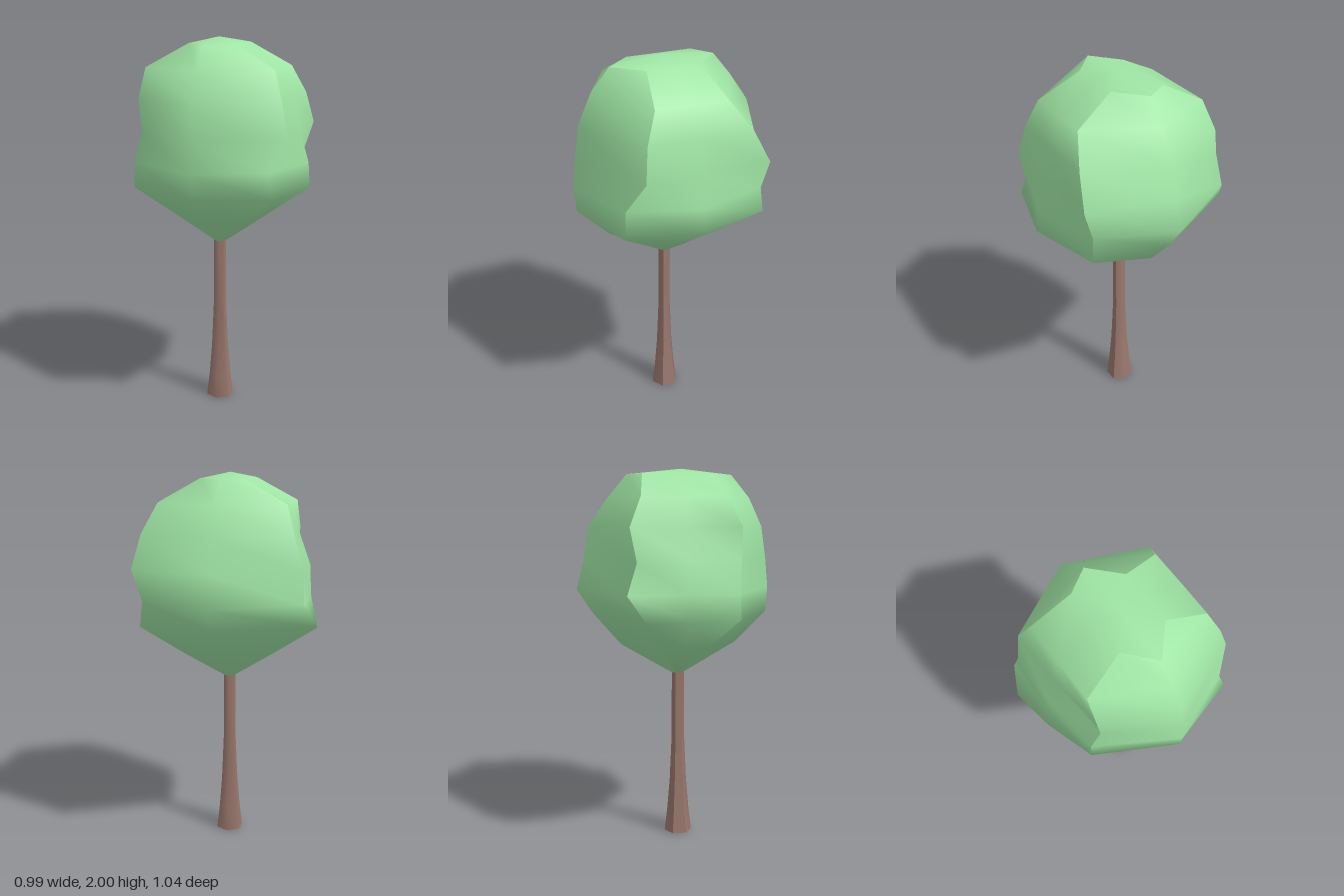
import * as THREE from 'three';
import { mergeVertices } from 'three/addons/utils/BufferGeometryUtils.js';

// Heights of the crown's rings, top to bottom
const HEIGHTS = [1.97, 1.85, 1.7, 1.53, 1.37, 1.24];
const TIP = [0, 0.89, 0.02];
const TOP = [0, 2, 0.04];

// One vertical rib of the crown: x, z at each height, then the taper to the tip
function rib(xz, taper) {
  const points = HEIGHTS.map((y, i) => [xz[i][0], y, xz[i][1]]);
  const [x, , z] = points[5];
  points.push([x * taper, 1.07, z * taper], TIP);
  return points;
}

const ribs = {
  front: rib([[0, 0.31], [0, 0.41], [0, 0.48], [0, 0.505], [0, 0.52], [0, 0.51]], 0.66),
  frontLeft: rib([[0.13, 0.17], [0.34, 0.22], [0.39, 0.28], [0.43, 0.305], [0.35, 0.38], [0.385, 0.4]], 0.52),
  left: rib([[0.13, 0.03], [0.34, 0.03], [0.4, 0.01], [0.43, 0.02], [0.48, 0.03], [0.49, 0.03]], 0.52),
  backLeft: rib([[0.13, -0.11], [0.34, -0.16], [0.4, -0.27], [0.43, -0.355], [0.38, -0.34], [0.39, -0.355]], 0.52),
  back: rib([[0, -0.25], [0, -0.35], [0, -0.455], [0, -0.48], [0, -0.52], [0, -0.435]], 0.66),
  backRight: rib([[-0.12, -0.18], [-0.335, -0.21], [-0.38, -0.27], [-0.425, -0.24], [-0.435, -0.29], [-0.495, -0.2]], 0.52),
  right: rib([[-0.12, 0], [-0.335, 0], [-0.37, 0.02], [-0.43, 0.03], [-0.44, 0.01], [-0.465, 0.03]], 0.52),
  frontRight: rib([[-0.12, 0.17], [-0.335, 0.22], [-0.345, 0.3], [-0.33, 0.3], [-0.38, 0.285], [-0.385, 0.29]], 0.52),
};

// Triangles between neighbouring ribs, all meeting at the tip
function panel(...names) {
  const tris = [];
  for (let k = 0; k + 1 < names.length; k++) {
    const a = ribs[names[k]], b = ribs[names[k + 1]];
    for (let i = 0; i + 1 < a.length; i++) {
      tris.push(a[i], b[i + 1], b[i]);
      if (i + 2 < a.length) tris.push(a[i], a[i + 1], b[i + 1]);
    }
  }
  return tris;
}

// Fan closing the top ring
function cap() {
  const ring = Object.values(ribs).map((r) => r[0]);
  return ring.flatMap((p, i) => [TOP, p, ring[(i + 1) % ring.length]]);
}

// Surface that is smooth within itself and sharp against its neighbours
function smoothSurface(name, tris, material) {
  const raw = new THREE.BufferGeometry();
  raw.setAttribute('position', new THREE.Float32BufferAttribute(tris.flat(), 3));
  const geometry = mergeVertices(raw);
  geometry.computeVertexNormals();
  const mesh = new THREE.Mesh(geometry, material);
  mesh.name = name;
  return mesh;
}

export function createModel() {
  const tree = new THREE.Group();
  tree.name = 'tree';
  const leaf = new THREE.MeshStandardMaterial({ color: 0x9fe5a4 });
  const bark = new THREE.MeshStandardMaterial({ color: 0x9a786d });

  // Crown: front and back panels, plus the two sides flowing over the top
  const crown = new THREE.Group();
  crown.name = 'crown';
  crown.add(
    smoothSurface('crownFront', panel('frontRight', 'front', 'frontLeft'), leaf),
    smoothSurface('crownBack', panel('backLeft', 'back', 'backRight'), leaf),
    smoothSurface('crownSidesAndTop', [
      ...panel('frontLeft', 'left', 'backLeft'),
      ...panel('backRight', 'right', 'frontRight'),
      ...cap(),
    ], leaf),
  );

  // Six-sided trunk flaring towards the ground: rounded front and back, flat sides
  const trunk = new THREE.Group();
  trunk.name = 'trunk';
  trunk.position.z = 0.024;
  const profile = [[0.075, 0], [0.06, 0.13], [0.046, 0.3], [0.035, 0.55], [0.034, 0.92]]
    .map(([r, y]) => new THREE.Vector2(r, y));
  const sixth = Math.PI / 3;
  for (const [name, start, sides] of [
    ['trunkFront', -1, 2], ['trunkLeft', 1, 1], ['trunkBack', 2, 2], ['trunkRight', 4, 1],
  ]) {
    const geometry = new THREE.LatheGeometry(profile, sides, start * sixth, sides * sixth);
    geometry.computeVertexNormals();
    const mesh = new THREE.Mesh(geometry, bark);
    mesh.name = name;
    trunk.add(mesh);
  }
  const base = new THREE.Mesh(new THREE.CircleGeometry(0.075, 6, sixth / 2), bark);
  base.name = 'trunkBase';
  base.rotation.x = Math.PI / 2;
  trunk.add(base);

  tree.add(crown, trunk);
  return tree;
}
